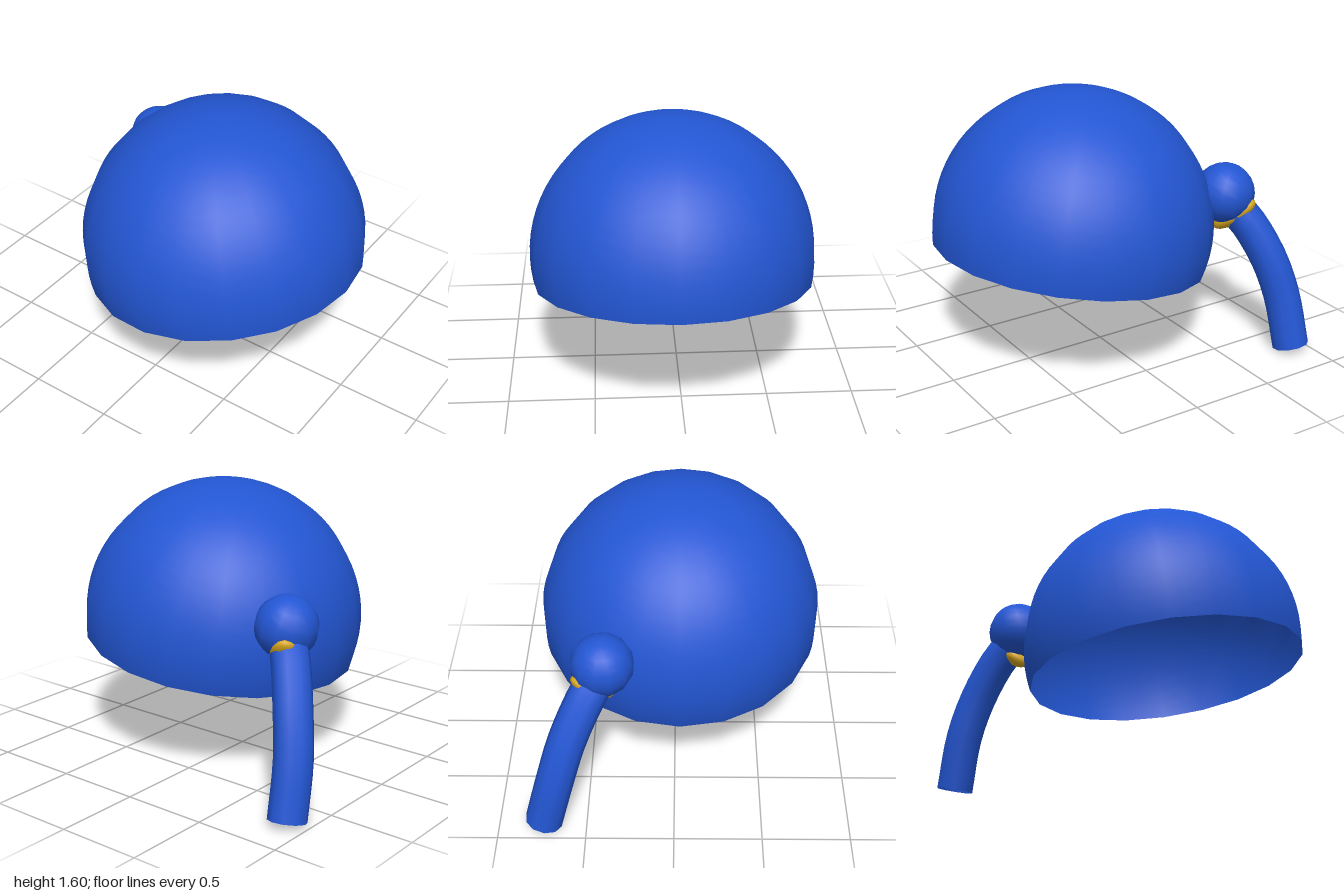
import * as THREE from 'three';

export function createModel() {
  const model = new THREE.Group();
  const blue = new THREE.MeshStandardMaterial({ color: 0x2356d3, side: THREE.DoubleSide });
  blue.name = 'blue';
  const yellow = new THREE.MeshStandardMaterial({ color: 0xd9a820 });
  yellow.name = 'yellow';

  const add = (name, geometry, material, x = 0, y = 0, z = 0) => {
    const mesh = new THREE.Mesh(geometry, material);
    mesh.name = name;
    mesh.position.set(x, y, z);
    model.add(mesh);
    return mesh;
  };

  // Open dome, a little more than half a sphere, tipped back
  const dome = add('dome',
    new THREE.SphereGeometry(0.827, 20, 20, 0, Math.PI * 2, 0, THREE.MathUtils.degToRad(100.8)),
    blue, -0.03, 0.78, 0.17);
  dome.rotation.x = THREE.MathUtils.degToRad(-8.65);

  // Ball joint on the back of the dome
  const ball = add('ballJoint', new THREE.SphereGeometry(0.178, 12, 12), blue, 0.395, 0.96, -0.615);
  ball.rotation.set(-0.3, 0.3, 0);

  // Curved open handle hanging from the joint
  const path = new THREE.CatmullRomCurve3([
    [0.42, 0.895, -0.64], [0.485, 0.8, -0.71], [0.59, 0.58, -0.805],
    [0.665, 0.34, -0.865], [0.745, 0.033, -0.888],
  ].map((p) => new THREE.Vector3(...p)));
  add('handle', new THREE.TubeGeometry(path, 12, 0.108, 10), blue);

  // Flattened collar, mostly hidden between the joint and the handle
  const collar = add('collar', new THREE.SphereGeometry(1, 16, 10), yellow, 0.45, 0.835, -0.65);
  const along = new THREE.Vector3(0.18, 0.17, -0.12).normalize();
  const side = new THREE.Vector3(0.5, -0.75, -0.4).cross(along).normalize();
  const axis = side.clone().cross(along);
  collar.quaternion.setFromRotationMatrix(new THREE.Matrix4().makeBasis(along, axis, side));
  collar.scale.set(0.155, 0.055, 0.09);

  return model;
}
